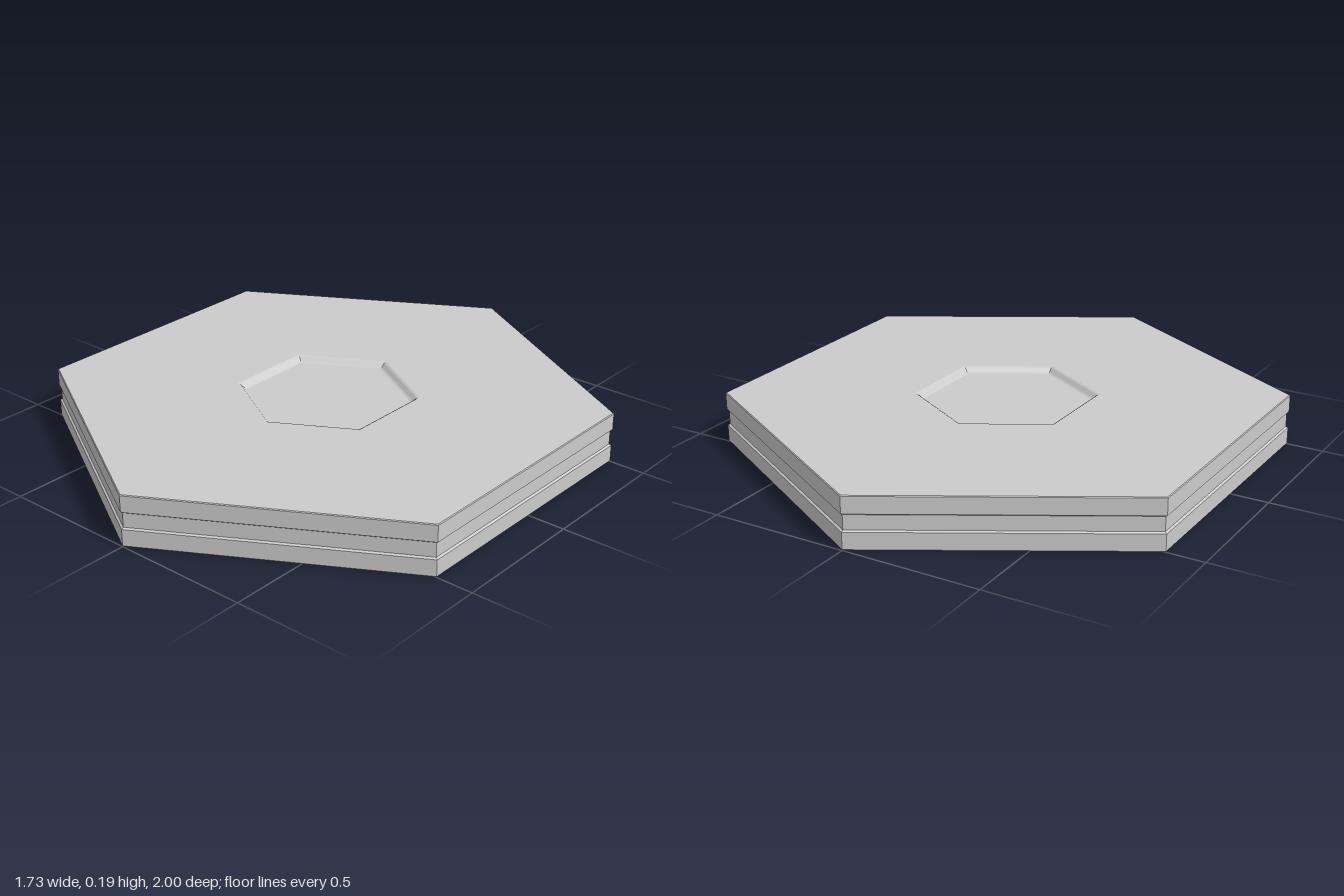
import * as THREE from 'three';

const HEIGHT = 0.187;

// Upper half of the section, as [radius, height above mid-plane], from groove to axis
const HALF = [
  [0.992, 0.026], // groove floor
  [1.0, 0.031],   // groove lip
  [1.0, 0.0905],  // outer wall
  [0.997, 0.0935], // softened rim
  [0.326, 0.0935], // flat face
  [0.318, 0.09],  // rounded recess edge
  [0.304, 0.077], // recess wall
  [0.296, 0.0735], // recess fillet
  [0, 0.0735],    // recess floor
];

export function createModel() {
  const group = new THREE.Group();
  group.name = 'hexagonalDisc';

  // Mirror the section about the mid-plane, then sweep it round six sides
  const lower = [...HALF].reverse().map(([r, y]) => [r, -y]);
  const profile = [...lower, ...HALF].map(([r, y]) => new THREE.Vector2(r, y + HEIGHT / 2));
  const geometry = new THREE.LatheGeometry(profile, 6).toNonIndexed();
  geometry.computeVertexNormals();

  const disc = new THREE.Mesh(
    geometry,
    new THREE.MeshStandardMaterial({ color: 0xcccccc, flatShading: true })
  );
  disc.name = 'groovedDiscWithRecesses';
  group.add(disc);
  return group;
}
